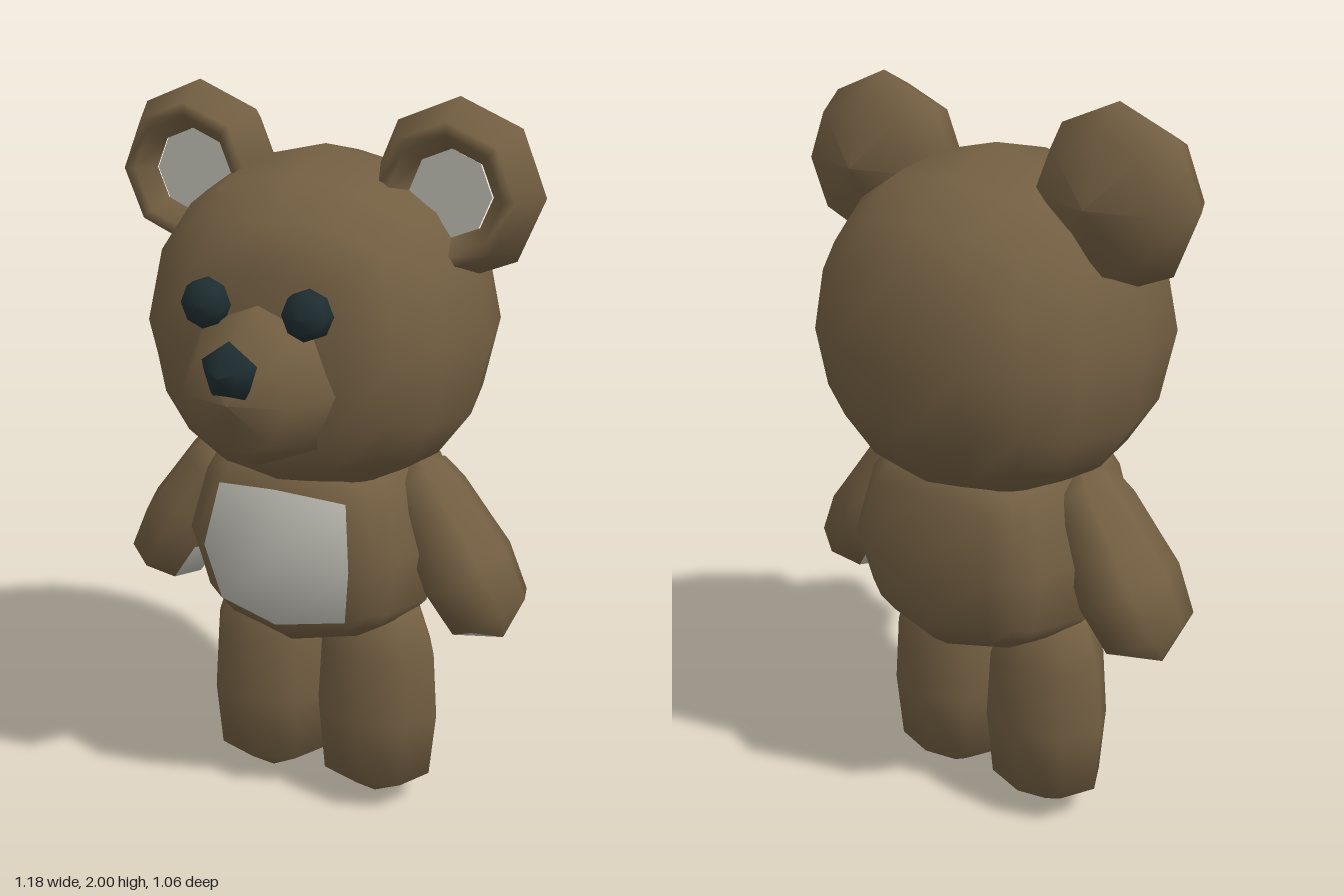
import * as THREE from 'three';
import { mergeVertices } from 'three/addons/utils/BufferGeometryUtils.js';

const material = (name, color) => {
  const m = new THREE.MeshStandardMaterial({ color });
  m.name = name;
  return m;
};

export function createModel() {
  const fur = material('brown fur', 0x735f42);
  const pale = material('pale patch', 0xbebdb4);
  const dark = material('dark eyes and nose', 0x1f2e31);
  const model = new THREE.Group();
  model.name = 'teddyBear';

  function add(name, geometry, mat, x = 0, y = 0, z = 0, parent = model) {
    const mesh = new THREE.Mesh(geometry, mat);
    mesh.name = name;
    mesh.position.set(x, y, z);
    parent.add(mesh);
    return mesh;
  }

  // Ball made from a 4 x 4 x 4 box; "line" places the inner grid lines
  function boxBall(rx, ry, rz, line = 0.5, maxZ = Infinity) {
    let g = new THREE.BoxGeometry(2, 2, 2, 4, 4, 4);
    g.deleteAttribute('normal');
    g.deleteAttribute('uv');
    g.clearGroups();
    g = mergeVertices(g, 1e-4);
    const p = g.attributes.position;
    const v = new THREE.Vector3();
    const shift = (c) => (Math.abs(Math.abs(c) - 0.5) < 0.01 ? Math.sign(c) * line : c);
    for (let i = 0; i < p.count; i++) {
      v.fromBufferAttribute(p, i);
      v.set(shift(v.x), shift(v.y), shift(v.z)).normalize();
      p.setXYZ(i, v.x * rx, v.y * ry, Math.min(v.z * rz, maxZ));
    }
    g.computeVertexNormals();
    return g;
  }

  // Turned form, profile given from bottom to top as [radius, height]
  const turned = (profile, sides = 8, start = 0) =>
    new THREE.LatheGeometry(profile.map(([r, h]) => new THREE.Vector2(r, h)), sides, start);

  // Same, but with the axis pointing to the front
  const turnedForward = (profile, sides, start) => turned(profile, sides, start).rotateX(Math.PI / 2);

  // Gives the second material to each triangle whose centre passes the test
  function paint(g, test) {
    const p = g.attributes.position;
    const lists = [[], []];
    for (let i = 0; i < g.index.count; i += 3) {
      const ids = [0, 1, 2].map((k) => g.index.getX(i + k));
      const c = new THREE.Vector3();
      ids.forEach((id) => c.add(new THREE.Vector3().fromBufferAttribute(p, id)));
      lists[test(c.divideScalar(3)) ? 1 : 0].push(...ids);
    }
    g.setIndex([...lists[0], ...lists[1]]);
    g.clearGroups();
    g.addGroup(0, lists[0].length, 0);
    g.addGroup(lists[0].length, lists[1].length, 1);
    return g;
  }

  // Head with a flattened face
  add('head', boxBall(0.465, 0.46, 0.465, 0.5, 0.385), fur, 0, 1.4, -0.065);

  // Body with the belly patch on its front
  const body = paint(boxBall(0.37, 0.34, 0.38, 0.69),
    (c) => c.z > 0.25 && Math.abs(c.x) < 0.17 && Math.abs(c.y) < 0.16);
  add('body', body, [fur, pale], 0, 0.83, -0.07);

  // Muzzle and nose
  add('muzzle', turnedForward([[0.215, 0.28], [0.2, 0.34], [0.14, 0.45], [0, 0.49]]), fur, 0, 1.325, 0);
  add('nose', turnedForward(
    [[0, 0.445], [0.06, 0.445], [0.078, 0.47], [0.05, 0.51], [0, 0.527]], 5, Math.PI), dark, 0, 1.403, 0);

  const ear = turnedForward([[0, -0.21], [0.175, -0.165], [0.23, -0.065],
    [0.182, 0.03], [0.15, 0.03], [0.11, -0.02]]);
  const eye = turnedForward([[0.04, 0.29], [0.064, 0.315], [0.06, 0.35], [0.035, 0.373], [0, 0.378]]);
  const leg = turned([[0, 0], [0.165, 0.1], [0.183, 0.29], [0.17, 0.48], [0.125, 0.61], [0, 0.68]])
    .scale(1, 1, 0.81);
  const arm = paint(turned([[0, -0.165], [0.11, -0.085], [0.125, 0.05], [0.113, 0.14],
    [0.097, 0.267], [0.076, 0.34], [0, 0.4]]).scale(1, 1, 1.3),
  (c) => (c.y < -0.08 && c.x < 0) || (c.y < 0.04 && c.x < -0.07));

  for (const [side, s] of [['left', 1], ['right', -1]]) {
    add(side + 'Ear', ear, fur, s * 0.36, 1.77, 0);
    add(side + 'InnerEar', new THREE.CircleGeometry(0.112, 8), pale, s * 0.355, 1.77, -0.019);
    add(side + 'Eye', eye, dark, s * 0.137, 1.523, 0);
    add(side + 'Leg', leg, fur, s * 0.165, 0, -0.06);

    // The arm has a pale pad on the inner end and swings out from the shoulder
    const pivot = new THREE.Group();
    pivot.name = side + 'ArmGroup';
    pivot.position.z = -0.06;
    pivot.rotation.y = s > 0 ? 0 : Math.PI;
    add(side + 'Arm', arm, [fur, pale], 0.45, 0.72, 0, pivot).rotation.z = Math.PI / 6;
    model.add(pivot);
  }
  return model;
}
